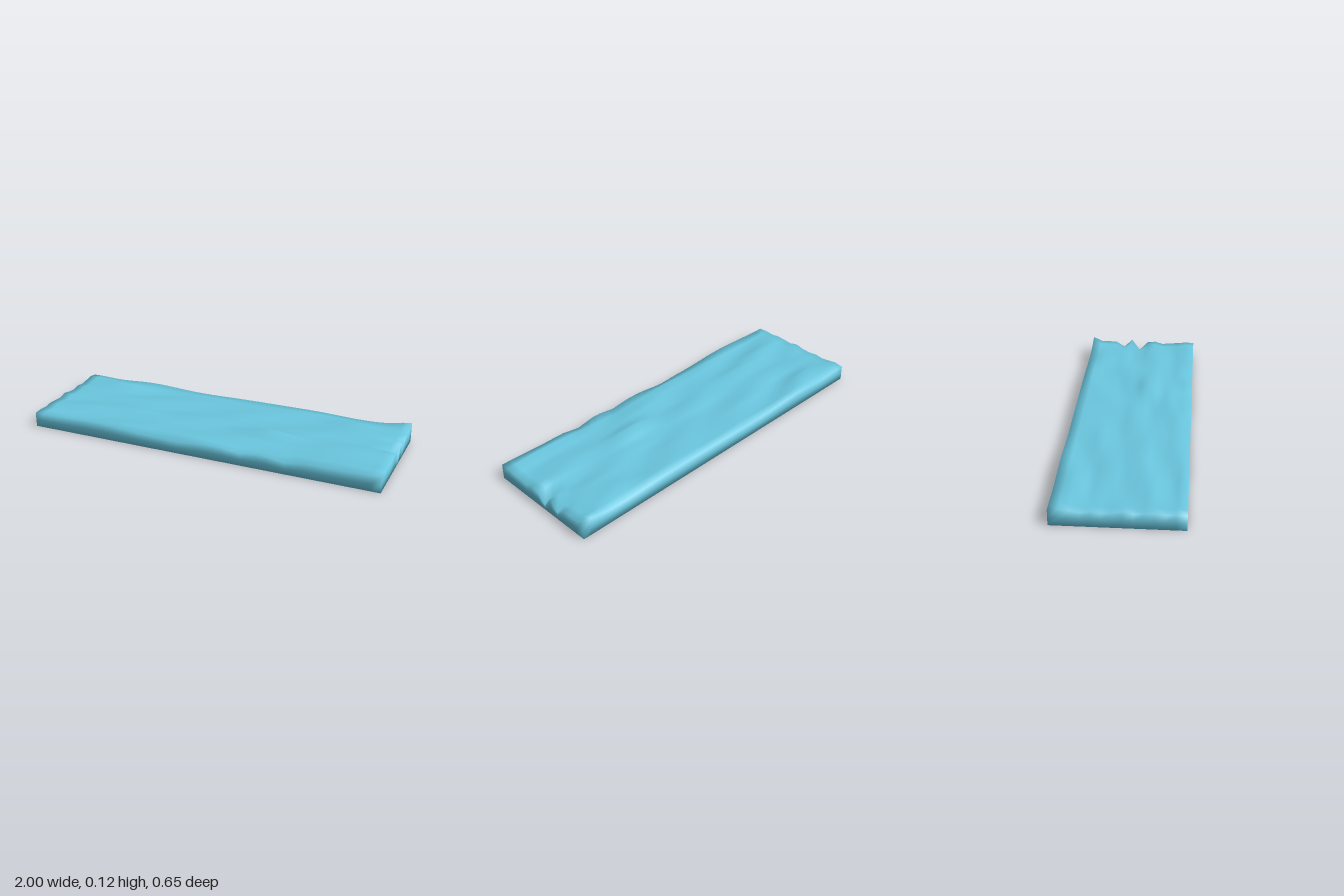
import * as THREE from 'three';
import { mergeVertices } from 'three/addons/utils/BufferGeometryUtils.js';

const LENGTH = 2, WIDTH = 0.65, LEVEL = 0.082;

// Wave crests and troughs: x, z, height, x radius, z radius
const WAVES = [
  [0.33, 0.075, 0.035, 0.16, 0.04], [0.35, 0.14, -0.012, 0.2, 0.03],
  [0.7, 0.07, 0.012, 0.15, 0.05], [-0.7, 0.15, 0.018, 0.2, 0.03],
  [-0.72, 0.2, -0.012, 0.25, 0.03], [-0.72, -0.22, 0.02, 0.15, 0.04],
  [-0.6, -0.17, -0.012, 0.15, 0.03], [-0.48, 0.06, 0.014, 0.12, 0.04],
  [0.15, -0.12, 0.01, 0.16, 0.03], [0.22, -0.07, -0.012, 0.18, 0.03],
  [0.18, -0.3, 0.014, 0.2, 0.03], [0.7, -0.22, 0.024, 0.13, 0.03],
  [-0.1, 0.28, 0.008, 0.12, 0.03], [-0.1, 0.325, -0.014, 0.1, 0.02],
  [0.5, 0.325, -0.022, 0.07, 0.03], [0.25, 0.325, -0.014, 0.06, 0.02],
  [0.85, 0.28, 0.012, 0.18, 0.03], [-0.95, -0.3, 0.016, 0.12, 0.04],
  [-1, 0.05, 0.014, 0.12, 0.03], [-1, -0.05, -0.014, 0.1, 0.03],
  // notches in the right end
  [1, -0.025, -0.05, 0.07, 0.035], [1, -0.08, 0.025, 0.08, 0.02],
  [1, -0.13, -0.034, 0.07, 0.025], [1, -0.325, 0.02, 0.1, 0.05],
];

// Gentle ripples plus the individual waves
function surfaceHeight(x, z) {
  let y = LEVEL
    + 0.004 * Math.sin(5.1 * x + 31 * z + 1.3)
    + 0.004 * Math.sin(-7.3 * x + 47 * z)
    + 0.003 * Math.sin(11.7 * x + 19 * z + 2.1);
  for (const [cx, cz, h, rx, rz] of WAVES) {
    y += h * Math.exp(-(((x - cx) / rx) ** 2) - ((z - cz) / rz) ** 2);
  }
  return y;
}

export function createModel() {
  const group = new THREE.Group();
  group.name = 'waterSlab';

  // Slab with a wavy top, a half-height ring round the sides and a flat base
  let geometry = new THREE.BoxGeometry(LENGTH, 1, WIDTH, 40, 2, 13);
  geometry.translate(0, 0.5, 0);
  const p = geometry.attributes.position;
  for (let i = 0; i < p.count; i++) {
    const h = surfaceHeight(p.getX(i), p.getZ(i));
    p.setY(i, p.getY(i) < 0.1 ? 0 : p.getY(i) > 0.9 ? h : h * 0.47);
  }

  // Weld the seams so the shading rolls over the edges
  geometry.deleteAttribute('normal');
  geometry.deleteAttribute('uv');
  geometry = mergeVertices(geometry, 1e-4);
  geometry.computeVertexNormals();

  const water = new THREE.Mesh(geometry, new THREE.MeshStandardMaterial({ color: 0x6ac6de }));
  water.name = 'water';
  group.add(water);
  return group;
}
